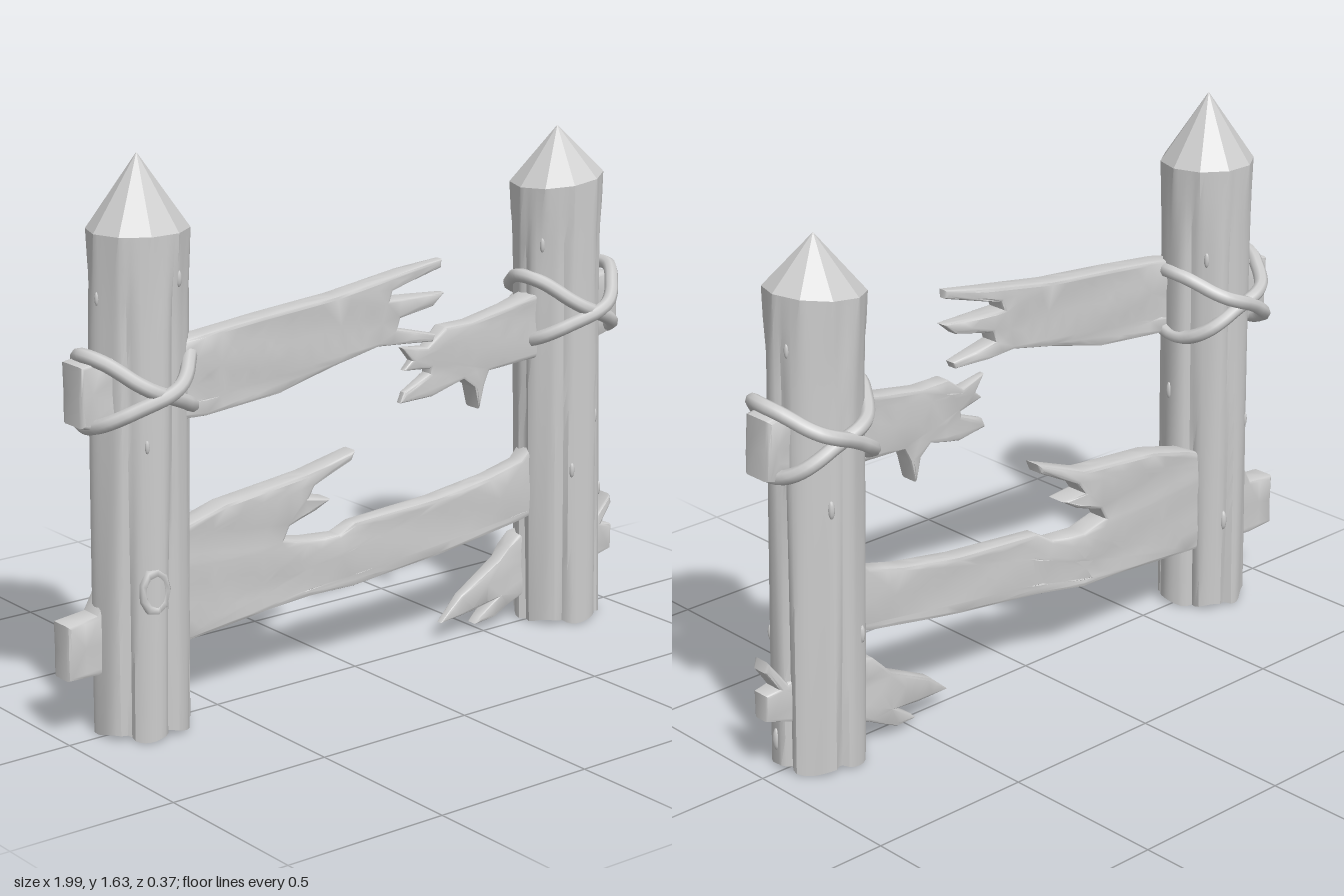
import * as THREE from 'three';
import { toCreasedNormals } from 'three/addons/utils/BufferGeometryUtils.js';

const wood = new THREE.MeshStandardMaterial({ color: 0xcccccc, side: THREE.DoubleSide });
wood.name = 'weathered grey';

function addMesh(parent, name, geometry) {
  const mesh = new THREE.Mesh(geometry, wood);
  mesh.name = name;
  parent.add(mesh);
  return mesh;
}

// Move every vertex of a geometry by a rule
function reshape(geometry, rule) {
  const p = geometry.attributes.position;
  const v = new THREE.Vector3();
  for (let i = 0; i < p.count; i++) {
    v.fromBufferAttribute(p, i);
    rule(v);
    p.setXYZ(i, v.x, v.y, v.z);
  }
  return geometry;
}

// Halve long edges until every triangle is short enough to bend smoothly
function subdivide(geometry, limit) {
  const p = geometry.attributes.position;
  const corner = i => new THREE.Vector3().fromBufferAttribute(p, i);
  const length = (a, b) => Math.hypot(a.x - b.x, a.y - b.y);
  const todo = [];
  const done = [];
  for (let i = 0; i < p.count; i += 3) todo.push([corner(i), corner(i + 1), corner(i + 2)]);
  while (todo.length) {
    let [a, b, c] = todo.pop();
    const ab = length(a, b), bc = length(b, c), ca = length(c, a);
    const longest = Math.max(ab, bc, ca);
    if (longest < limit) { done.push(a, b, c); continue; }
    if (longest === bc) [a, b, c] = [b, c, a];
    else if (longest === ca) [a, b, c] = [c, a, b];
    const m = a.clone().add(b).multiplyScalar(0.5);
    todo.push([a, m, c], [m, b, c]);
  }
  return new THREE.BufferGeometry().setFromPoints(done);
}

const FACETS = 10;
const TOP_RADIUS = 0.143;

// Grooved bark that turns into a plain polygon at the shoulder (t = 1)
function barkRadius(a, t, seed) {
  let r = 0.137 + 0.004 * Math.sin(4 * a + seed) + 0.003 * Math.sin(7 * a + seed * 2 + t * 3);
  for (let k = 0; k < 6; k++) {
    const c = seed + k * 1.047 + 0.2 * Math.sin(k * 5 + seed) + 0.05 * Math.sin(t * 4 + k);
    const d = Math.atan2(Math.sin(a - c), Math.cos(a - c));
    r -= (0.012 + 0.012 * Math.max(0, 1 - t * 1.8)) * Math.exp(-d * d * 90);
  }
  const step = (2 * Math.PI) / FACETS;
  const offset = a - step * Math.round(a / step - 0.5) - step / 2;
  const polygon = TOP_RADIUS * Math.cos(step / 2) / Math.cos(offset);
  return THREE.MathUtils.lerp(r, polygon, THREE.MathUtils.smoothstep(t, 0.82, 1));
}

function makePost(name, spec) {
  const post = new THREE.Group();
  post.name = name;
  const { x, topX, shoulder, slope, tip, seed, bumps } = spec;
  const axis = t => x + (topX - x) * t;
  const shoulderAt = dx => shoulder + slope * dx;
  const depth = 0.96;

  // Hollow-footed trunk with a ragged lower edge
  const trunk = new THREE.CylinderGeometry(1, 1, 1, 60, 16, true).translate(0, 0.5, 0);
  reshape(trunk, v => {
    const a = Math.atan2(v.z, v.x);
    const t = v.y;
    const r = barkRadius(a, t, seed);
    const foot = 0.012 + 0.008 * Math.sin(5 * a + seed);
    const y = foot + (shoulderAt(r * Math.cos(a)) - foot) * t;
    v.set(axis(t) + r * Math.cos(a), y, depth * r * Math.sin(a));
  });
  addMesh(post, 'trunk', toCreasedNormals(trunk, 0.6));

  // Sharpened point with broad cut facets
  const point = new THREE.ConeGeometry(TOP_RADIUS, 1, FACETS, 1, true).rotateY(Math.PI / 2);
  reshape(point, v => {
    v.set(topX + v.x, v.y > 0 ? tip : shoulderAt(v.x), depth * v.z);
  });
  addMesh(post, 'point', toCreasedNormals(point, 0.45));

  // Small bark chips: angle, height, size
  for (const [a, y, s] of bumps) {
    const t = y / shoulder;
    const r = barkRadius(a, t, seed) - 0.002;
    const chip = addMesh(post, 'barkChip', new THREE.SphereGeometry(s, 8, 6));
    chip.scale.set(0.7, 2, 0.7);
    chip.position.set(axis(t) + r * Math.cos(a), y, depth * r * Math.sin(a));
  }
  return post;
}

// Broken plank: front outline, plus a path of [x, centre z, half thickness]
function makePlank(name, outline, path) {
  const shape = new THREE.Shape(outline.map(([x, y]) => new THREE.Vector2(x, y)));
  const block = new THREE.ExtrudeGeometry(shape, {
    depth: 1.4, bevelThickness: 0.3, bevelSize: 0.01, bevelOffset: -0.01, bevelSegments: 2,
  }).translate(0, 0, -0.7);
  const geometry = reshape(subdivide(block, 0.09), v => {
    let i = 0;
    while (i < path.length - 2 && v.x > path[i + 1][0]) i++;
    const [x0, z0, h0] = path[i];
    const [x1, z1, h1] = path[i + 1];
    const t = THREE.MathUtils.clamp((v.x - x0) / (x1 - x0), 0, 1);
    const grain = 1 + 0.06 * Math.sin(v.y * 40 + v.x * 5);
    v.z = z0 + (z1 - z0) * t + v.z * grain * (h0 + (h1 - h0) * t);
  });
  const mesh = new THREE.Mesh(toCreasedNormals(geometry, 0.7), wood);
  mesh.name = name;
  return mesh;
}

// Two tilted loops that cross at the front and back of a post
function makeRope(name, x, y) {
  const rope = new THREE.Group();
  rope.name = name;
  for (const side of [-1, 1]) {
    const points = [];
    for (let i = 0; i < 24; i++) {
      const a = (i / 24) * Math.PI * 2;
      const r = 0.156 + 0.006 * Math.sin(5 * a + side);
      points.push(new THREE.Vector3(
        x + r * Math.cos(a),
        y + side * 0.092 * Math.cos(a) + 0.01 * Math.sin(3 * a + side),
        (r + side * 0.007) * Math.sin(a)));
    }
    const loop = new THREE.TubeGeometry(new THREE.CatmullRomCurve3(points, true), 64, 0.021, 8, true);
    addMesh(rope, 'ropeLoop', loop);
  }
  return rope;
}

export function createModel() {
  const fence = new THREE.Group();
  fence.name = 'brokenFence';

  fence.add(makePost('rightPost', {
    x: -0.757, topX: -0.74, shoulder: 1.425, slope: 0, tip: 1.63, seed: 0.5,
    bumps: [[0.1, 0.72, 0.014], [1.2, 1.3, 0.012], [2.0, 0.85, 0.01], [-1.3, 0.3, 0.016],
      [-0.8, 1.15, 0.012], [-2.2, 0.6, 0.012], [3.1, 1.25, 0.01], [0.7, 0.5, 0.012]],
  }));
  fence.add(makePost('leftPost', {
    x: 0.795, topX: 0.766, shoulder: 1.385, slope: 0.12, tip: 1.54, seed: 1.9,
    bumps: [[1.0, 0.65, 0.012], [1.9, 0.5, 0.012], [0.2, 0.09, 0.018], [2.6, 1.2, 0.012],
      [-1.2, 0.8, 0.014], [-2.0, 0.4, 0.014], [-0.3, 1.25, 0.011], [0.5, 0.4, 0.012]],
  }));

  // Knot on the front of a post
  const knot = addMesh(fence, 'knot', new THREE.TorusGeometry(0.04, 0.013, 6, 9));
  knot.scale.set(0.9, 1.4, 1);
  knot.position.set(-0.79, 0.44, 0.122);
  knot.rotation.y = -0.2;

  fence.add(makePlank('upperRightPlank', [
    [-0.96, 1.08], [-0.9, 1.09], [-0.6, 1.13], [-0.4, 1.15], [-0.15, 1.17], [0.05, 1.2],
    [0.23, 1.225], [0.23, 1.2], [0.05, 1.155], [0.04, 1.13], [0.24, 1.125], [0.2, 1.09],
    [0.08, 1.07], [0.07, 1.04], [0.21, 1.005], [0.2, 0.985], [0, 1.0], [-0.15, 0.97],
    [-0.35, 0.92], [-0.6, 0.9], [-0.9, 0.89], [-0.96, 0.91],
  ], [[-0.96, -0.005, 0.05], [-0.88, 0, 0.05], [-0.6, 0.073, 0.037], [0.1, 0.08, 0.033], [0.24, 0.098, 0.014]]));

  fence.add(makePlank('lowerPlank', [
    [-1, 0.35], [-0.9, 0.36], [-0.85, 0.45], [-0.6, 0.55], [-0.45, 0.59], [-0.35, 0.6],
    [-0.15, 0.62], [0, 0.67], [-0.01, 0.64], [-0.13, 0.58], [-0.15, 0.55], [-0.08, 0.535],
    [-0.13, 0.505], [-0.22, 0.475], [-0.24, 0.44], [-0.15, 0.42], [-0.05, 0.42], [0, 0.45],
    [0.3, 0.47], [0.5, 0.5], [0.62, 0.53], [0.66, 0.57], [0.75, 0.56], [0.75, 0.37],
    [0.62, 0.34], [0.3, 0.29], [0, 0.255], [-0.3, 0.24], [-0.6, 0.21], [-0.9, 0.185], [-1, 0.19],
  ], [[-1, -0.03, 0.04], [-0.6, -0.045, 0.035], [-0.15, -0.058, 0.038], [0, -0.025, 0.028],
    [0.6, 0, 0.033], [0.75, 0, 0.03]]));

  fence.add(makePlank('upperLeftPlank', [
    [0.97, 1.07], [0.98, 0.9], [0.9, 0.88], [0.65, 0.85], [0.47, 0.84], [0.45, 0.8],
    [0.43, 0.73], [0.41, 0.8], [0.37, 0.83], [0.25, 0.8], [0.125, 0.8], [0.14, 0.83],
    [0.24, 0.87], [0.24, 0.885], [0.14, 0.895], [0.17, 0.92], [0.13, 0.965], [0.23, 0.95],
    [0.3, 1.0], [0.4, 1.0], [0.55, 1.025], [0.65, 1.05], [0.92, 1.08],
  ], [[0.125, 0.045, 0.01], [0.3, 0.022, 0.03], [0.62, 0.015, 0.037], [0.9, 0.005, 0.052], [0.98, 0.005, 0.052]]));

  fence.add(makePlank('splinteredStub', [
    [0.34, 0.06], [0.42, 0.13], [0.5, 0.17], [0.58, 0.21], [0.65, 0.28], [0.8, 0.31],
    [0.92, 0.28], [0.98, 0.36], [0.99, 0.33], [0.95, 0.27], [0.99, 0.26], [0.99, 0.18],
    [0.92, 0.16], [0.75, 0.12], [0.66, 0.08], [0.56, 0.03], [0.48, 0.025], [0.5, 0.045],
    [0.57, 0.09], [0.47, 0.07],
  ], [[0.34, -0.02, 0.012], [0.62, -0.045, 0.03], [0.9, 0, 0.035], [0.99, 0.01, 0.03]]));

  fence.add(makeRope('rightRope', -0.765, 1.0));
  fence.add(makeRope('leftRope', 0.79, 1.0));
  return fence;
}
